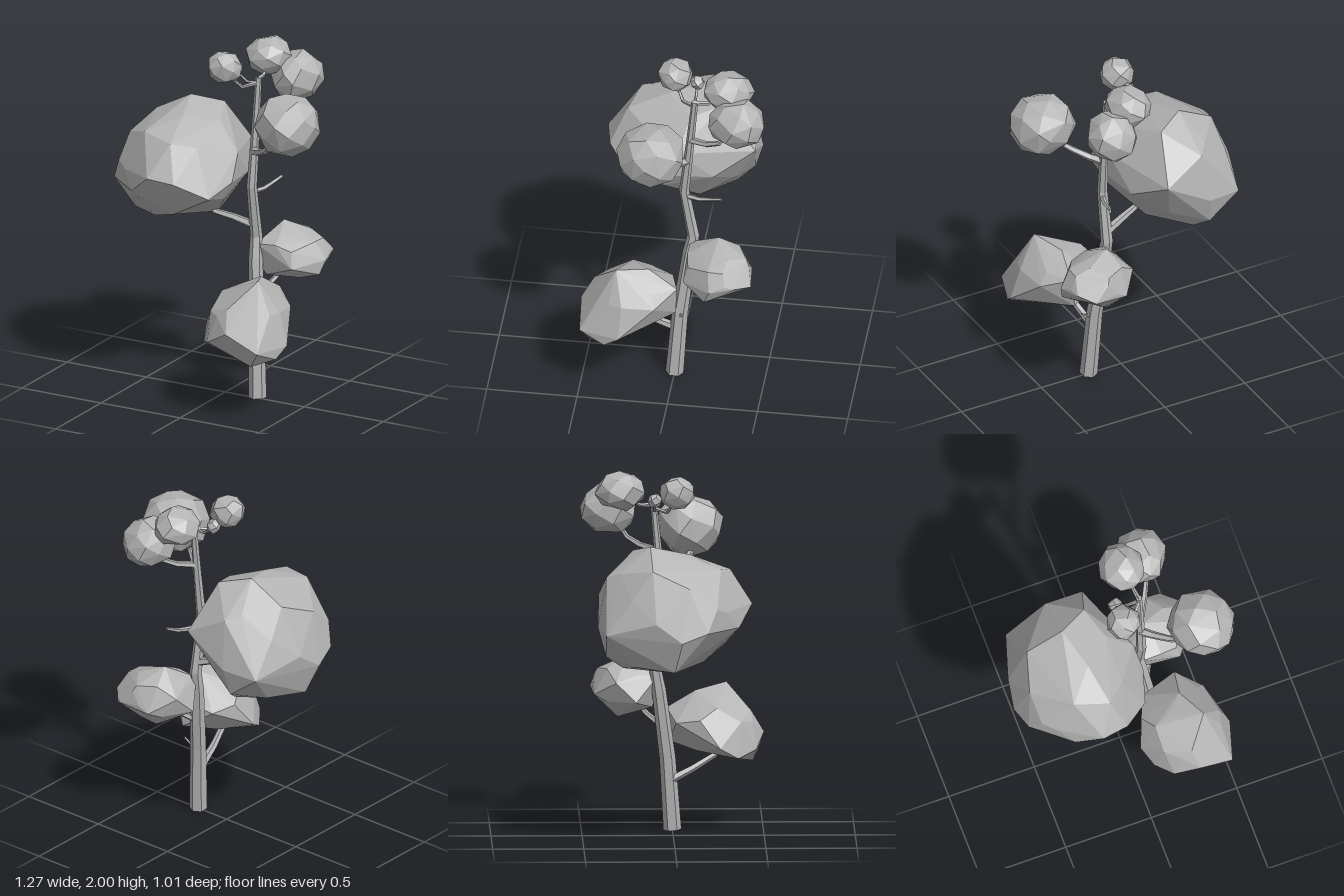
import * as THREE from 'three';
import { ConvexGeometry } from 'three/addons/geometries/ConvexGeometry.js';

const grey = new THREE.MeshStandardMaterial({ color: 0xb4b4b4 });
grey.name = 'pale grey';

// Small seeded generator for the irregular facets
function seeded(seed) {
  let s = seed * 7919 + 13;
  return () => (s = (s * 16807) % 2147483647) / 2147483647;
}

// Faceted clump: hull of a jittered ellipsoid core and a few corner points
function clump(center, radii, count, size, seed, corners = []) {
  const rand = seeded(seed);
  const points = corners.map((p) => new THREE.Vector3(...p));
  for (let i = 0; i < count; i++) {
    const y = 1 - (2 * (i + 0.5)) / count;
    const a = i * 2.39996 + seed + 0.3 * rand();
    const r = Math.sqrt(1 - y * y);
    const k = size * (0.95 + 0.09 * rand());
    points.push(new THREE.Vector3(
      center[0] + radii[0] * k * r * Math.cos(a),
      center[1] + radii[1] * k * y,
      center[2] + radii[2] * k * r * Math.sin(a)));
  }
  return new ConvexGeometry(points);
}

// Tapered limb with flat sides along a path
function limb(path, r0, r1, sides) {
  const pts = path.map((p) => new THREE.Vector3(...p));
  const pos = [], index = [], up = new THREE.Vector3(0, 1, 0), last = pts.length - 1;
  pts.forEach((p, i) => {
    const dir = pts[Math.min(i + 1, last)].clone().sub(pts[Math.max(i - 1, 0)]).normalize();
    const turn = new THREE.Quaternion().setFromUnitVectors(up, dir);
    const r = THREE.MathUtils.lerp(r0, r1, i / last);
    for (let j = 0; j < sides; j++) {
      const a = (j / sides) * Math.PI * 2;
      const v = new THREE.Vector3(Math.sin(a) * r, 0, Math.cos(a) * r).applyQuaternion(turn).add(p);
      pos.push(v.x, v.y, v.z);
      if (i === last) continue;
      const b = i * sides + j, c = i * sides + ((j + 1) % sides);
      index.push(b, c, c + sides, b, c + sides, b + sides);
    }
  });
  for (let j = 1; j < sides - 1; j++) {
    const t = last * sides;
    index.push(0, j + 1, j, t, t + j, t + j + 1);
  }
  const g = new THREE.BufferGeometry();
  g.setAttribute('position', new THREE.Float32BufferAttribute(pos, 3));
  g.setIndex(index);
  const flat = g.toNonIndexed();
  flat.computeVertexNormals();
  return flat;
}

export function createModel() {
  const model = new THREE.Group();
  model.name = 'tree';
  const add = (name, geometry) => {
    const mesh = new THREE.Mesh(geometry, grey);
    mesh.name = name;
    model.add(mesh);
  };

  // Trunk with a gentle double bend
  add('trunk', limb([[0.204, 0, 0], [0.182, 0.4, -0.027], [0.15, 0.78, -0.075], [0.142, 0.9, -0.095],
    [0.142, 1.2, -0.045], [0.147, 1.5, -0.075], [0.15, 1.82, -0.105]], 0.05, 0.018, 6));

  // Branches: name, start radius, path
  const branches = [
    ['lowFrontBranch', 0.024, [[0.17, 0.28, -0.01], [0.19, 0.34, 0.11], [0.22, 0.41, 0.23], [0.25, 0.5, 0.28]]],
    ['lowStub', 0.01, [[0.18, 0.41, -0.03], [0.23, 0.405, -0.04], [0.27, 0.43, -0.04]]],
    ['lowBackBranch', 0.02, [[0.165, 0.57, -0.045], [0.22, 0.64, -0.14], [0.27, 0.72, -0.22]]],
    ['rightBranch', 0.025, [[0.14, 0.96, -0.09], [0.02, 1.0, -0.06], [-0.08, 1.025, -0.03], [-0.15, 1.1, 0]]],
    ['bareTwig', 0.016, [[0.145, 1.17, -0.05], [0.17, 1.17, -0.13], [0.185, 1.185, -0.2], [0.21, 1.21, -0.26]]],
    ['leftBranch', 0.026, [[0.145, 1.405, -0.06], [0.2, 1.42, -0.01], [0.28, 1.46, 0.06], [0.38, 1.54, 0.12]]],
    ['highBackBranch', 0.02, [[0.15, 1.555, -0.08], [0.21, 1.58, -0.18], [0.245, 1.62, -0.25], [0.26, 1.7, -0.3]]],
    ['topBackBranch', 0.014, [[0.15, 1.81, -0.1], [0.14, 1.81, -0.18], [0.12, 1.86, -0.25]]],
    ['topFrontBranch', 0.013, [[0.15, 1.79, -0.1], [0.09, 1.775, -0.03], [0.03, 1.84, 0.01]]],
    ['topRightTwig', 0.011, [[0.15, 1.79, -0.1], [0.08, 1.785, -0.1], [0.02, 1.83, -0.1]]],
  ];
  for (const [name, r, path] of branches) add(name, limb(path, r, r * 0.55, 5));

  // Large angular clumps shaped by their main corners
  add('largeFoliage', clump([-0.27, 1.29, 0], [0.37, 0.33, 0.42], 26, 0.95, 1, [
    [-0.29, 1.64, -0.13], [-0.13, 1.6, -0.22], [-0.25, 1.32, 0.43], [-0.1, 1.3, 0.4], [-0.17, 1.5, 0.31],
    [-0.5, 1.53, -0.12], [-0.53, 1.18, -0.375], [-0.33, 1.2, -0.42], [-0.07, 1.35, -0.41], [-0.635, 1.15, 0.04],
    [-0.6, 1.2, 0.18], [-0.57, 0.98, 0], [-0.3, 0.97, -0.28], [-0.1, 1.0, -0.1], [0.1, 1.26, 0.1],
    [0.08, 1.4, 0], [0.05, 1.2, 0.27], [-0.35, 0.975, 0.02], [-0.3, 1.475, -0.37], [-0.35, 1.04, -0.375],
    [-0.45, 1.5, 0.1], [-0.48, 1.0, -0.22], [-0.42, 1.1, 0.17], [-0.47, 1.3, 0.29]]));
  add('lowFrontFoliage', clump([0.285, 0.57, 0.24], [0.25, 0.18, 0.26], 22, 0.9, 2, [
    [0.38, 0.795, 0.3], [0.2, 0.72, 0.22], [0.07, 0.62, 0.15], [0.025, 0.47, 0.26], [0.07, 0.41, 0.36],
    [0.29, 0.53, 0.505], [0.48, 0.44, 0.49], [0.42, 0.35, 0.45], [0.15, 0.45, 0.46], [0.545, 0.44, 0.27],
    [0.52, 0.38, 0.35], [0.33, 0.66, -0.03], [0.12, 0.6, 0.02], [0.3, 0.48, -0.02], [0.46, 0.6, 0.08],
    [0.47, 0.62, 0.33], [0.3, 0.76, 0.13], [0.2, 0.6, 0.44]]));
  add('lowBackFoliage', clump([0.29, 0.79, -0.26], [0.21, 0.16, 0.19], 22, 0.95, 3, [
    [0.23, 0.965, -0.25], [0.45, 0.88, -0.3], [0.475, 0.8, -0.37], [0.505, 0.78, -0.23], [0.48, 0.7, -0.2],
    [0.4, 0.77, -0.45], [0.2, 0.75, -0.43], [0.38, 0.75, -0.07], [0.15, 0.86, -0.08], [0.07, 0.72, -0.2],
    [0.25, 0.62, -0.3], [0.2, 0.68, -0.11], [0.3, 0.885, -0.41], [0.27, 0.87, -0.08]]));

  // Rounder clumps near the top: name, centre, radii, points, seed
  const rounds = [
    ['leftFoliage', [0.447, 1.655, 0.095], [0.19, 0.17, 0.188], 32, 4],
    ['highBackFoliage', [0.253, 1.775, -0.352], [0.141, 0.142, 0.157], 28, 5],
    ['topBackFoliage', [0.112, 1.89, -0.285], [0.124, 0.11, 0.14], 28, 6],
    ['topFrontFoliage', [0.012, 1.893, 0.022], [0.097, 0.093, 0.098], 26, 7],
    ['tinyFoliage', [0.01, 1.85, -0.1], [0.042, 0.042, 0.04], 16, 8],
  ];
  for (const [name, c, r, n, seed] of rounds) add(name, clump(c, r, n, 1.02, seed));

  return model;
}
